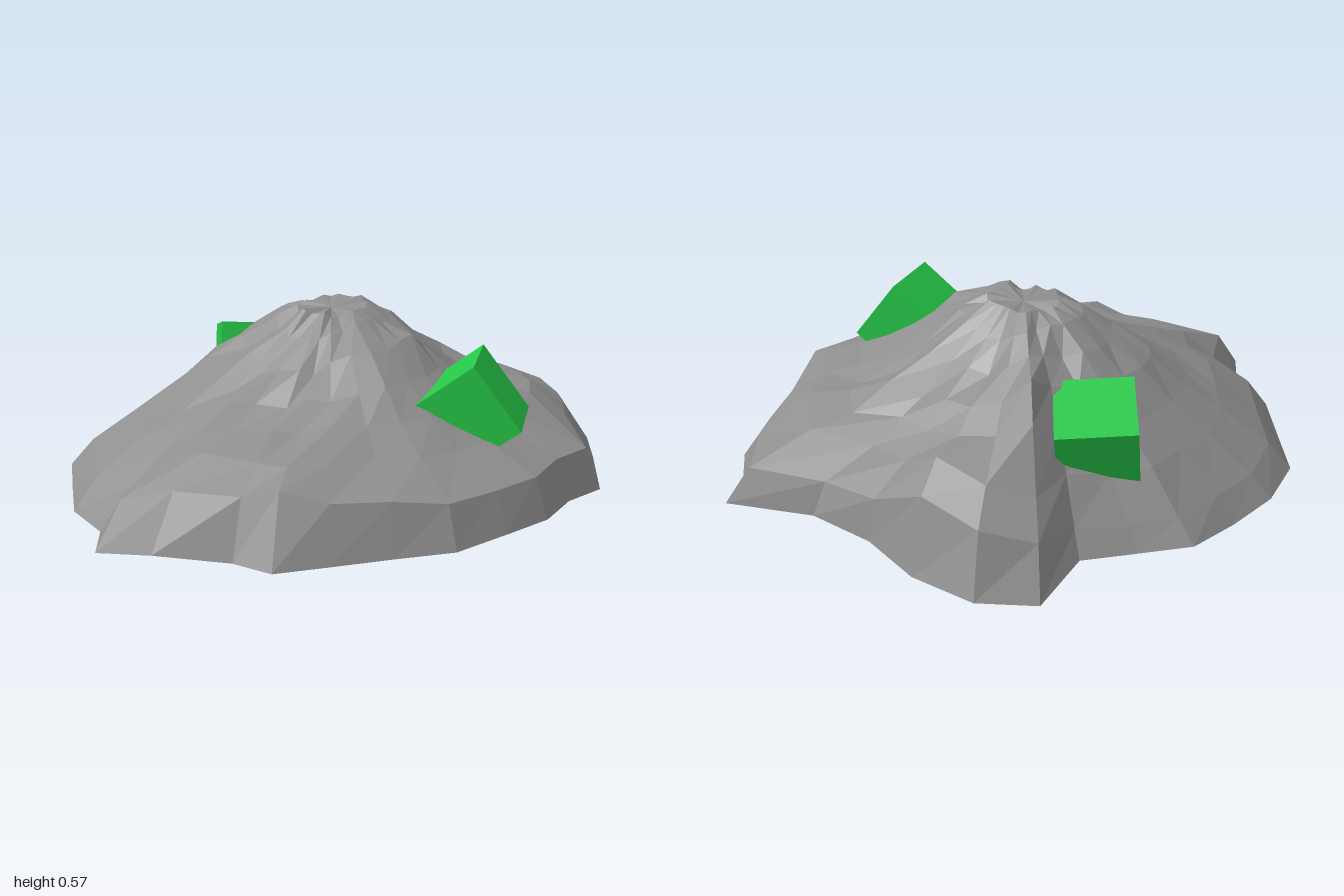
import * as THREE from 'three';

// Rim of the mound: x, z, height, going left, back, right, front
const RIM = [
  [-1, 0, 0.03], [-0.9, -0.11, 0.03], [-0.85, -0.31, 0.02], [-0.72, -0.5, 0.01], [-0.6, -0.67, 0.01],
  [-0.41, -0.77, 0.01], [-0.22, -0.8, 0], [-0.03, -0.83, 0.01], [0.13, -0.76, 0.01], [0.3, -0.7, 0.02],
  [0.51, -0.79, 0], [0.66, -0.68, 0.01], [0.73, -0.47, 0.01], [0.74, -0.25, 0.02], [0.81, -0.04, 0.03],
  [1, 0.17, 0.04], [0.86, 0.34, 0.01], [0.8, 0.45, 0.02], [0.66, 0.57, 0.02], [0.39, 0.78, 0.04],
  [0.22, 0.78, 0.05], [0.04, 0.83, 0.06], [-0.13, 0.81, 0.06], [-0.31, 0.77, 0.05], [-0.45, 0.66, 0.04],
  [-0.6, 0.55, 0.03], [-0.73, 0.45, 0.02], [-0.76, 0.32, 0.02], [-0.9, 0.13, 0.03],
];
// Rings as fractions of the way out, and the slope heights on them
const RINGS = [0.13, 0.22, 0.34, 0.47, 0.6, 0.74, 0.91];
const LEFT = [0.56, 0.5, 0.41, 0.34, 0.285, 0.245, 0.16];
const BACK = [0.555, 0.53, 0.46, 0.39, 0.29, 0.2, 0.08];
const SADDLE = [0.555, 0.53, 0.47, 0.42, 0.32, 0.22, 0.09];
const RIDGE = [0.56, 0.53, 0.48, 0.46, 0.36, 0.22, 0.14];
const BACK_KNOB = [0.56, 0.5, 0.42, 0.36, 0.32, 0.3, 0.23];
const VALLEY = [0.56, 0.5, 0.4, 0.33, 0.27, 0.2, 0.12];
const RIGHT = [0.56, 0.515, 0.42, 0.345, 0.28, 0.245, 0.15];
const FRONT = [0.555, 0.54, 0.49, 0.4, 0.32, 0.25, 0.18];
const FRONT_KNOB = [0.56, 0.5, 0.42, 0.35, 0.295, 0.26, 0.22];
// Which slope holds at which rim point; blended between
const SECTORS = [
  [0, LEFT], [5, BACK], [8, BACK], [9, SADDLE], [10, RIDGE], [12, BACK_KNOB], [13.5, VALLEY],
  [15, RIGHT], [17, RIGHT], [20, FRONT], [23, FRONT], [26, FRONT_KNOB], [29, LEFT],
];
const CX = 0.03, CZ = -0.06;

function seeded(seed) {
  return () => {
    seed = (seed * 16807) % 2147483647;
    return (seed / 2147483647) * 2 - 1;
  };
}

function slopeHeight(i, ring) {
  const s = SECTORS.findIndex(([to]) => to > i);
  const [from, a] = SECTORS[s - 1], [to, b] = SECTORS[s];
  return THREE.MathUtils.lerp(a[ring], b[ring], (i - from) / (to - from));
}

function moundGeometry() {
  const rand = seeded(90731), n = RIM.length;
  const pos = [CX, 0.55, CZ], index = [];

  // Rough rings, smoother on the outer back and front slopes
  RINGS.forEach((t, ring) => {
    RIM.forEach(([x, z], i) => {
      const dx = x - CX, dz = z - CZ, r = Math.hypot(dx, dz);
      const front = i > 18 && i < 25;
      const smooth = t > 0.45 && ((i > 1 && i < 10) || front);
      const rough = smooth ? 0.2 : 1;
      // Inner rings are rounder than the rim; the front edge is steeper
      const reach = r + (0.86 - r) * (1 - t) * 0.6;
      const f = t * (1 + 0.05 * rough * rand()) * reach / r + (front && t > 0.9 ? 0.035 : 0);
      pos.push(CX + dx * f, slopeHeight(i, ring) + 0.014 * rough * rand(), CZ + dz * f);
    });
  });
  RIM.forEach(([x, z, y]) => pos.push(x, y, z));

  const last = RINGS.length;
  const at = (ring, i) => 1 + ring * n + (i % n);
  const base = pos.length / 3;
  pos.push(CX, 0.03, CZ);
  for (let i = 0; i < n; i++) {
    index.push(0, at(0, i + 1), at(0, i)); // peak fan
    for (let k = 0; k < last; k++) {
      const a = at(k, i), b = at(k, i + 1), c = at(k + 1, i), d = at(k + 1, i + 1);
      index.push(a, b, d, a, d, c);
    }
    index.push(base, at(last, i), at(last, i + 1)); // underside fan
  }
  const geo = new THREE.BufferGeometry();
  geo.setAttribute('position', new THREE.Float32BufferAttribute(pos, 3));
  geo.setIndex(index);
  geo.computeVertexNormals();
  return geo;
}

// Tilted cube placed by its centre and two edge directions
function block(name, centre, edgeA, edgeB, material) {
  const u = new THREE.Vector3(...edgeA).normalize();
  const w = u.clone().cross(new THREE.Vector3(...edgeB)).normalize();
  const v = w.clone().cross(u);
  const mesh = new THREE.Mesh(new THREE.BoxGeometry(0.247, 0.247, 0.247), material);
  mesh.name = name;
  mesh.quaternion.setFromRotationMatrix(new THREE.Matrix4().makeBasis(u, v, w));
  mesh.position.set(...centre);
  return mesh;
}

export function createModel() {
  const group = new THREE.Group();
  group.name = 'rockMound';

  const stone = new THREE.MeshStandardMaterial({ color: 0x8f8f8f, flatShading: true });
  const green = new THREE.MeshStandardMaterial({ color: 0x26c648 });

  const mound = new THREE.Mesh(moundGeometry(), stone);
  mound.name = 'mound';
  group.add(mound);

  // Green cubes half buried in the slopes
  group.add(block('frontCube', [0.1, 0.31, 0.475], [0.85, 0, -0.526], [0.343, -0.794, 0.504], green));
  group.add(block('backCube', [0.08, 0.27, -0.497], [0.79, -0.07, 0.604], [-0.56, 0.3, 0.77], green));
  return group;
}
